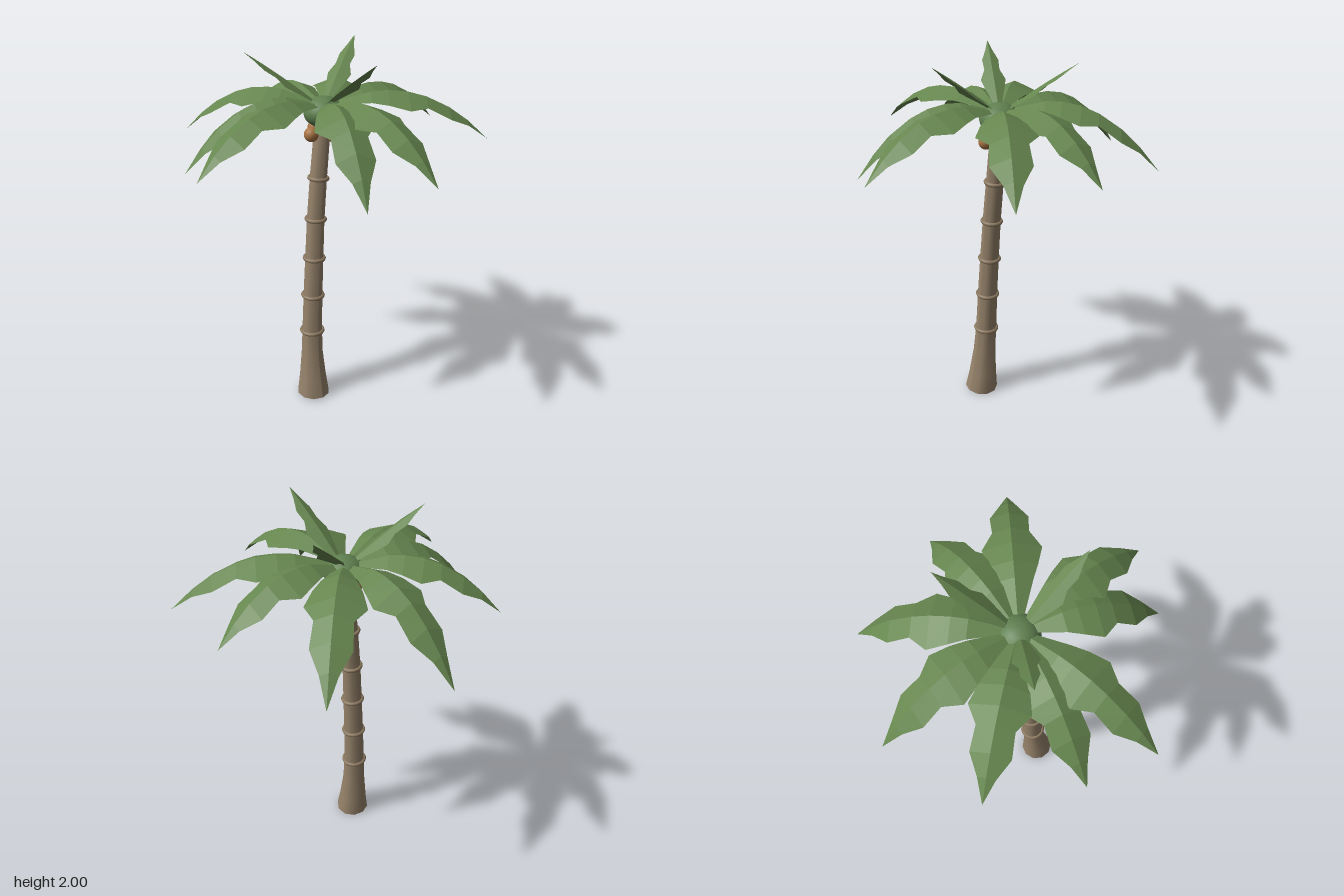
import * as THREE from 'three';

// trunk stations: height, centre x, centre z, radius
const TRUNK = [
  [0, -0.073, 0.035, 0.094], [0.12, -0.07, 0.026, 0.079], [0.27, -0.066, 0.015, 0.064],
  [0.42, -0.059, 0.007, 0.059], [0.65, -0.05, 0.003, 0.055], [0.88, -0.037, -0.001, 0.052],
  [1.11, -0.023, -0.006, 0.049], [1.34, -0.002, -0.01, 0.047], [1.66, 0.03, -0.012, 0.043],
];
const HUB = new THREE.Vector3(0.033, 1.69, -0.012);

// frond outline: distance along the frond, half width at full size
const OUTLINE = [
  [0.08, 0.03], [0.28, 0.085], [0.38, 0.115], [0.5, 0.143], [0.61, 0.088],
  [0.75, 0.095], [0.87, 0.042], [1, 0],
];

// folded leaf: a raised midrib with a toothed edge on either side
function frondGeometry(tipX, tipZ, rib, width, fold) {
  const dx = tipX - HUB.x, dz = tipZ - HUB.z, length = Math.hypot(dx, dz);
  const px = -dz / length, pz = dx / length;
  const positions = [], index = [];
  OUTLINE.forEach(([t, w], i) => {
    const h = w * width;
    for (const s of [-1, 0, 1]) {
      positions.push(HUB.x + dx * t + px * h * s, rib(t) - Math.abs(s) * h * fold, HUB.z + dz * t + pz * h * s);
    }
    if (i === 0) return;
    for (let k = 0; k < 2; k++) {
      const a = (i - 1) * 3 + k, b = a + 3;
      index.push(a, a + 1, b, a + 1, b + 1, b);
    }
  });
  const g = new THREE.BufferGeometry();
  g.setAttribute('position', new THREE.Float32BufferAttribute(positions, 3));
  g.setIndex(index);
  g.computeVertexNormals();
  return g;
}

function trunkGeometry() {
  const g = new THREE.CylinderGeometry(1, 1, 1, 10, TRUNK.length - 1);
  const p = g.attributes.position;
  for (let i = 0; i < p.count; i++) {
    const row = Math.round((p.getY(i) + 0.5) * (TRUNK.length - 1));
    const [y, cx, cz, r] = TRUNK[row];
    // foot is cut slightly at an angle
    const tilt = row === 0 ? 0.008 - p.getX(i) * 0.005 + p.getZ(i) * 0.003 : 0;
    p.setXYZ(i, cx + p.getX(i) * r, y + tilt, cz + p.getZ(i) * r);
  }
  g.computeVertexNormals();
  return g;
}

export function createModel() {
  const bark = new THREE.MeshStandardMaterial({ name: 'bark', color: 0x96836b });
  const ringBark = new THREE.MeshStandardMaterial({ name: 'ring bark', color: 0x8c7960 });
  const leaf = new THREE.MeshStandardMaterial({ name: 'leaf green', color: 0x66864f, flatShading: true, side: THREE.DoubleSide });
  const crownGreen = new THREE.MeshStandardMaterial({ name: 'crown green', color: 0x5f8050 });
  const shell = new THREE.MeshStandardMaterial({ name: 'coconut shell', color: 0xa87444 });

  const model = new THREE.Group();
  model.name = 'palmTree';
  const add = (name, geometry, material, parent = model) => {
    const mesh = new THREE.Mesh(geometry, material);
    mesh.name = name;
    parent.add(mesh);
    return mesh;
  };

  add('trunk', trunkGeometry(), bark);

  // rings around the trunk, square to its lean
  const up = new THREE.Vector3(0, 0, 1);
  for (let i = 3; i <= 7; i++) {
    const [y, x, z, r] = TRUNK[i], a = TRUNK[i - 1], b = TRUNK[i + 1];
    const ring = add('trunkRing', new THREE.TorusGeometry(r + 0.001, 0.011, 8, 20), ringBark);
    ring.position.set(x, y, z);
    ring.quaternion.setFromUnitVectors(up, new THREE.Vector3(b[1] - a[1], b[0] - a[0], b[2] - a[2]).normalize());
  }

  // crown the fronds grow from
  const crown = add('crown', new THREE.SphereGeometry(0.105, 16, 12), crownGreen);
  crown.position.copy(HUB);
  crown.scale.y = 0.75;

  // coconuts
  for (let i = 0; i < 4; i++) {
    const a = i * Math.PI / 2;
    add('coconut', new THREE.SphereGeometry(0.038, 16, 12), shell)
      .position.set(0.034 + Math.cos(a) * 0.084, 1.587, -0.005 + Math.sin(a) * 0.084);
  }

  // drooping fronds: tip x, y, z
  const fronds = new THREE.Group();
  fronds.name = 'fronds';
  model.add(fronds);
  const droopingTips = [
    [0.1, 1.42, -0.795], [0.632, 1.45, -0.55], [0.768, 1.54, 0.02],
    [0.72, 1.54, 0.482], [0.053, 1.53, 0.79], [-0.243, 1.445, 0.664],
    [-0.776, 1.545, 0.127], [-0.67, 1.46, -0.2], [-0.437, 1.53, -0.62],
  ];
  for (const [x, y, z] of droopingTips) {
    const rib = (t) => 1.715 + 0.4 * t - (2.115 - y) * t ** 2.2;
    add('droopingFrond', frondGeometry(x, z, rib, 1, 0.42), leaf, fronds);
  }

  // young fronds standing up in the middle
  for (const [x, z] of [[-0.305, -0.21], [0.383, -0.2], [0.028, 0.388]]) {
    const rib = (t) => 1.71 + 0.33 * t - 0.04 * t * t;
    add('uprightFrond', frondGeometry(x, z, rib, 0.45, 0.42), leaf, fronds);
  }
  return model;
}
